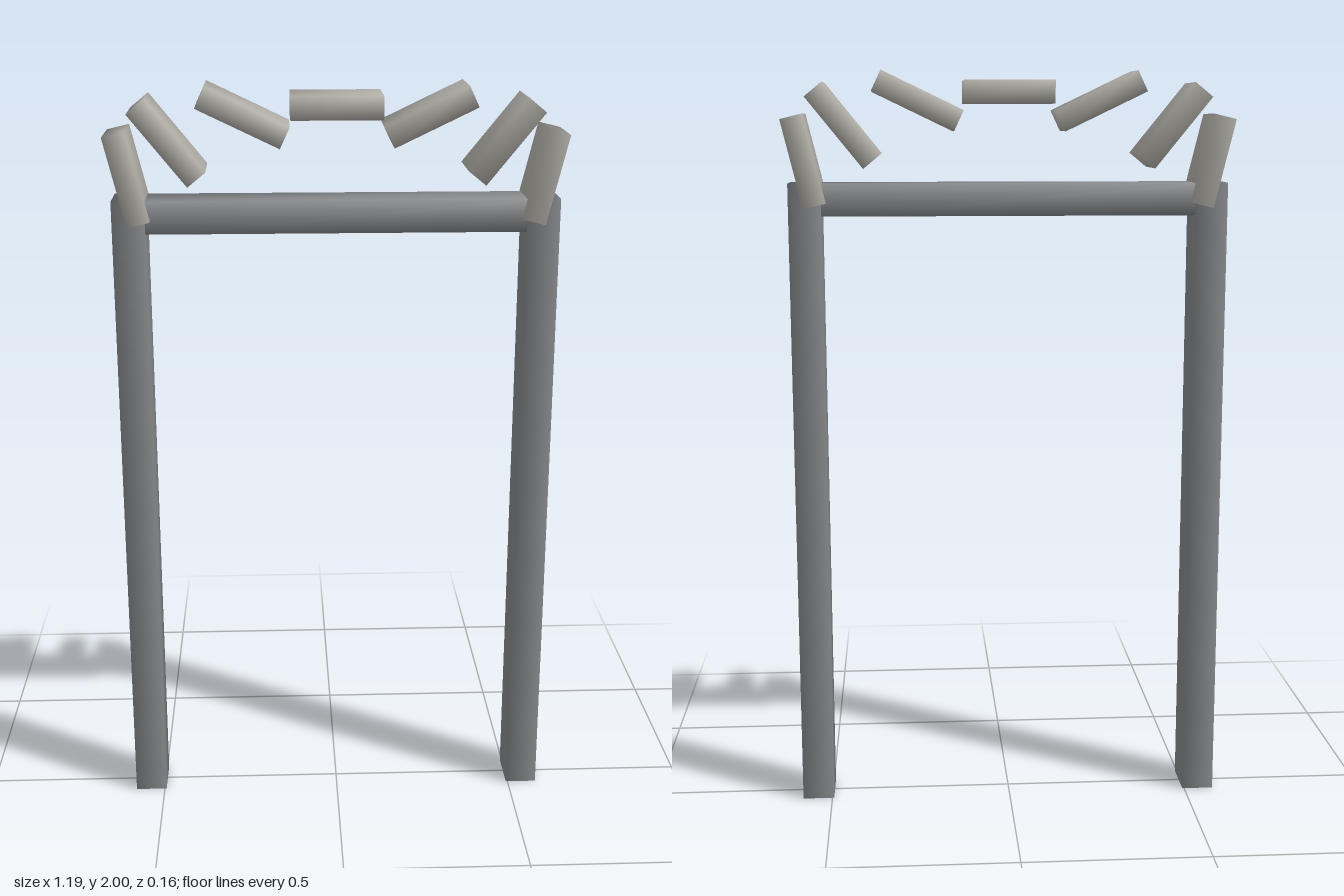
import * as THREE from 'three';
import { mergeVertices } from 'three/addons/utils/BufferGeometryUtils.js';

// Box whose corners share one averaged normal, for soft shading
function softBox(w, h, d) {
  const g = new THREE.BoxGeometry(w, h, d);
  g.deleteAttribute('normal');
  g.deleteAttribute('uv');
  const merged = mergeVertices(g);
  merged.computeVertexNormals();
  return merged;
}

export function createModel() {
  const group = new THREE.Group();
  const beamMat = new THREE.MeshStandardMaterial({ color: 0x85878a });
  const stoneMat = new THREE.MeshStandardMaterial({ color: 0xaeaca4 });

  const add = (name, geometry, material, x, y, angle = 0) => {
    const mesh = new THREE.Mesh(geometry, material);
    mesh.name = name;
    mesh.position.set(x, y, 0);
    mesh.rotation.z = angle;
    group.add(mesh);
  };

  // Two upright posts joined by a lintel
  const post = softBox(0.086, 1.71, 0.126);
  add('leftPost', post, beamMat, 0.538, 0.855);
  add('rightPost', post, beamMat, -0.538, 0.855);
  add('lintel', softBox(0.994, 0.085, 0.126), beamMat, 0, 1.667);

  // Arch of seven tilted slabs, mirrored about the middle one
  const slab = softBox(0.237, 0.06, 0.164);
  const step = THREE.MathUtils.degToRad(25.5);
  add('keySlab', slab, stoneMat, 0, 1.945);
  [[0.24, 1.922], [0.434, 1.859], [0.539, 1.767]].forEach(([x, y], i) => {
    const angle = step * (i + 1);
    add(`leftArchSlab${i + 1}`, slab, stoneMat, x, y, angle);
    add(`rightArchSlab${i + 1}`, slab, stoneMat, -x, y, -angle);
  });

  return group;
}
